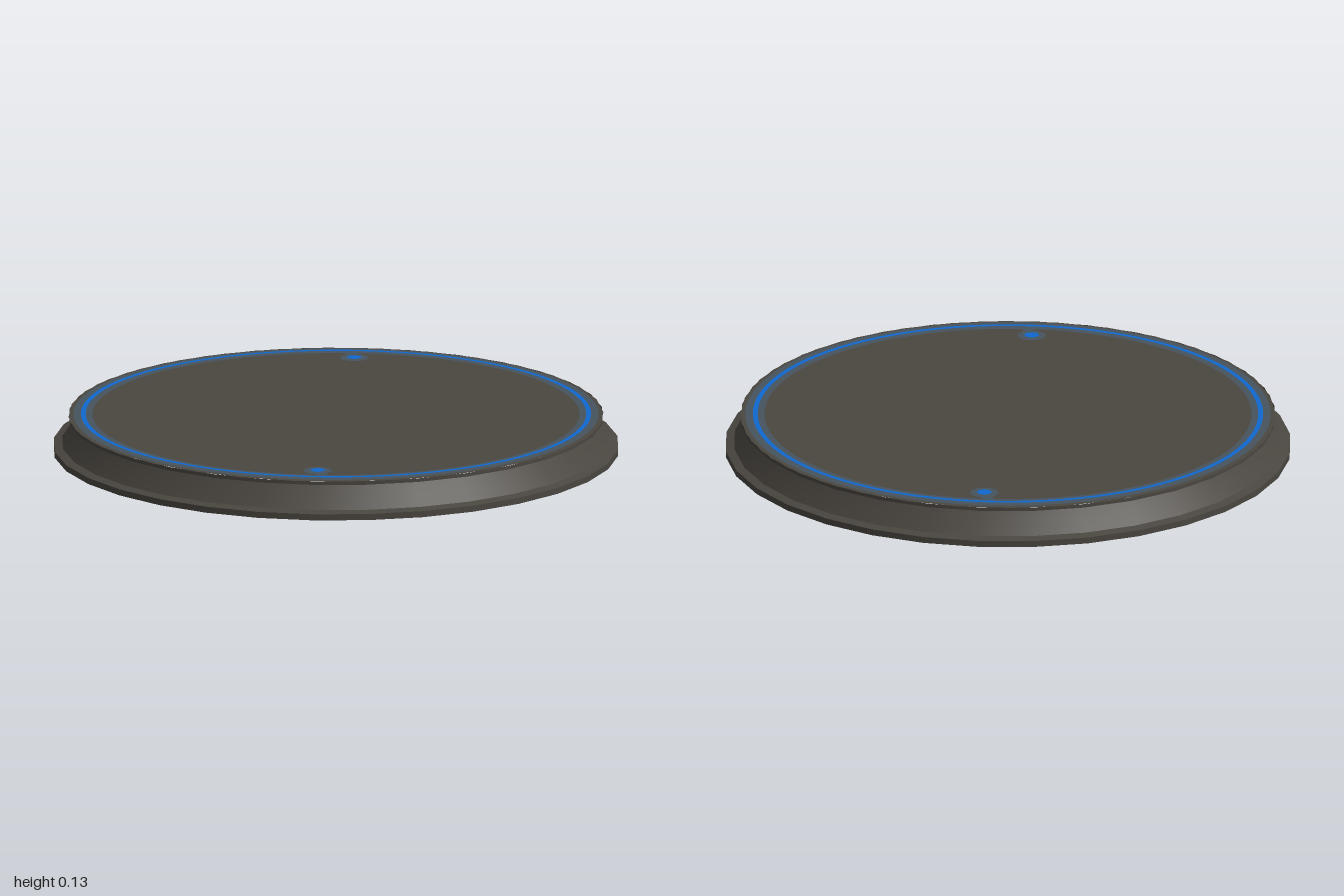
import * as THREE from 'three';

const SIDES = 32;
const TURN = THREE.MathUtils.degToRad(-3.4);
const TOP = 0.128;

function material(name, color) {
  const m = new THREE.MeshStandardMaterial({ color, side: THREE.DoubleSide });
  m.name = name;
  return m;
}

export function createModel() {
  const model = new THREE.Group();
  model.name = 'roundPlatform';
  const dark = material('dark metal', 0x4a4640);
  const slate = material('slate halo', 0x46535e);
  const blue = material('glowing blue', 0x0f68d0);

  function add(name, geometry, mat, parent = model) {
    const mesh = new THREE.Mesh(geometry, mat);
    mesh.name = name;
    parent.add(mesh);
    return mesh;
  }

  // One turned band of the open shell; separate bands keep sharp edges
  function band(name, ...profile) {
    const points = profile.map(([r, y]) => new THREE.Vector2(r, y));
    add(name, new THREE.LatheGeometry(points, SIDES, TURN), dark);
  }
  band('footRim', [1, 0], [1, 0.022]);
  band('footLedge', [1, 0.022], [0.97, 0.03]);
  band('slopedWall', [0.97, 0.03], [0.938, 0.073], [0.912, 0.115]);
  band('lipUnderside', [0.912, 0.115], [0.945, 0.115]);
  band('lipEdge', [0.945, 0.115], [0.945, TOP]);

  // Top plate, with a corner on the same angles as the shell
  const plate = new THREE.CircleGeometry(0.945, SIDES, Math.PI / 2 - TURN);
  plate.rotateX(-Math.PI / 2);
  add('topPlate', plate, dark).position.y = TOP;

  // Painted markings, repeated on the upper and lower face of the plate
  function flat(name, geometry, mat, parent, y, x = 0, z = 0) {
    geometry.rotateX(-Math.PI / 2);
    add(name, geometry, mat, parent).position.set(x, y, z);
  }
  for (const side of [1, -1]) {
    const marks = new THREE.Group();
    marks.name = side > 0 ? 'upperMarkings' : 'lowerMarkings';
    model.add(marks);
    const haloY = TOP + side * 0.002;
    const blueY = TOP + side * 0.004;
    flat('haloRing', new THREE.RingGeometry(0.86, 0.928, 96), slate, marks, haloY);
    flat('blueRing', new THREE.RingGeometry(0.884, 0.901, 96), blue, marks, blueY);
    for (const s of [1, -1]) {
      flat('haloDot', new THREE.CircleGeometry(0.05, 20), slate, marks, haloY, s * 0.2, s * -0.773);
      flat('haloNeck', new THREE.PlaneGeometry(0.04, 0.06), slate, marks, haloY, s * 0.197, s * -0.83);
      flat('blueDot', new THREE.CircleGeometry(0.026, 16), blue, marks, blueY, s * 0.2, s * -0.773);
    }
  }
  return model;
}
